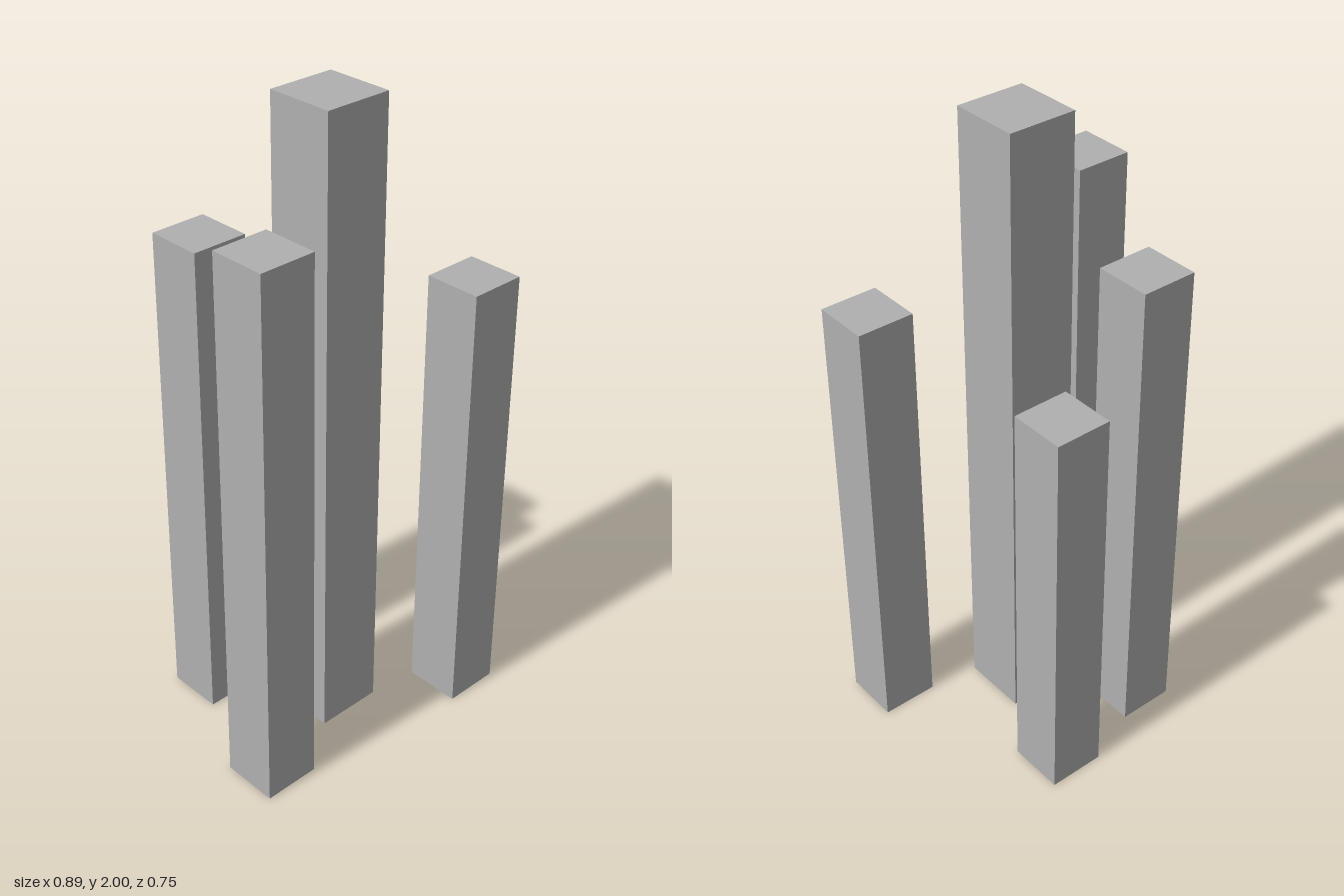
import * as THREE from 'three';

export function createModel() {
  const model = new THREE.Group();
  model.name = 'pillarCluster';

  const grey = new THREE.MeshStandardMaterial({ color: 0xb0b0b0 });
  grey.name = 'grey';

  // Square pillars standing on the ground: name, x, z, width, height
  const pillars = [
    ['centrePillar', 0, 0.071, 0.214, 2],
    ['frontRightPillar', -0.357, 0.212, 0.178, 1.714],
    ['backRightPillar', -0.214, -0.215, 0.178, 1.571],
    ['frontLeftPillar', 0.356, 0.284, 0.178, 1.429],
    ['backLeftPillar', 0.141, -0.286, 0.178, 1.286],
  ];
  for (const [name, x, z, width, height] of pillars) {
    const pillar = new THREE.Mesh(new THREE.BoxGeometry(width, height, width), grey);
    pillar.name = name;
    pillar.position.set(x, height / 2, z);
    model.add(pillar);
  }
  return model;
}
